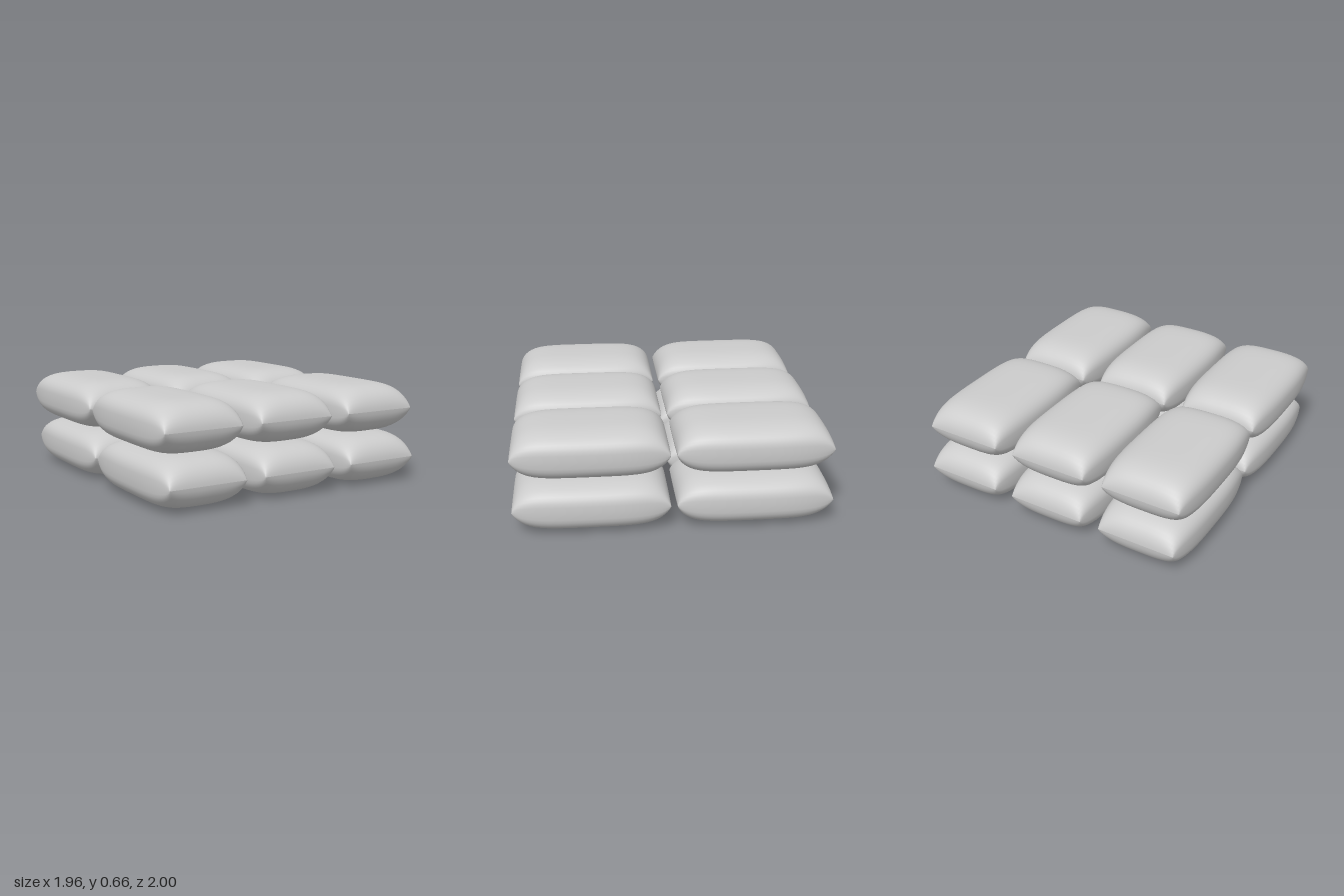
import * as THREE from 'three';

const HALF_W = 0.307, END_W = 0.262, HALF_H = 0.163, HALF_L = 0.49;
const RINGS = 32, SIDES = 48;

// Signed power, for superellipse curves
const spow = (v, p) => Math.sign(v) * Math.abs(v) ** p;

// One stuffed bag: rounded-rectangle sections along z that flatten to a straight seam at each end
function bagGeometry() {
  const positions = [], index = [];
  for (let i = 0; i <= RINGS; i++) {
    const u = Math.sin((i / RINGS - 0.5) * Math.PI);
    const t = Math.min(1, Math.abs(u));
    const w = END_W + (HALF_W - END_W) * (1 - t ** 3);
    const h = HALF_H * Math.max(0, 1 - t ** 6) ** 0.55;
    for (let j = 0; j < SIDES; j++) {
      const a = (j / SIDES) * Math.PI * 2;
      positions.push(
        w * spow(Math.cos(a), 0.66),
        h * spow(Math.sin(a), 0.66),
        HALF_L * u
      );
    }
  }
  for (let i = 0; i < RINGS; i++) {
    for (let j = 0; j < SIDES; j++) {
      const k = (j + 1) % SIDES;
      const a = i * SIDES + j, b = i * SIDES + k;
      index.push(a, b, b + SIDES, a, b + SIDES, a + SIDES);
    }
  }
  const geometry = new THREE.BufferGeometry();
  geometry.setAttribute('position', new THREE.Float32BufferAttribute(positions, 3));
  geometry.setIndex(index);
  geometry.computeVertexNormals();
  return geometry;
}

export function createModel() {
  const model = new THREE.Group();
  model.name = 'bagStack';
  const material = new THREE.MeshStandardMaterial({ color: 0xcccccc });
  const geometry = bagGeometry();

  // Two layers of six bags, shifted sideways against each other
  const layers = [
    { name: 'lowerBag', y: 0.165, shift: 0.015 },
    { name: 'upperBag', y: 0.495, shift: -0.015 },
  ];
  for (const { name, y, shift } of layers) {
    for (const z of [-0.51, 0.51]) {
      for (const column of [-1, 0, 1]) {
        const bag = new THREE.Mesh(geometry, material);
        bag.name = name;
        bag.position.set(column * 0.658 + shift, y, z);
        model.add(bag);
      }
    }
  }
  return model;
}
